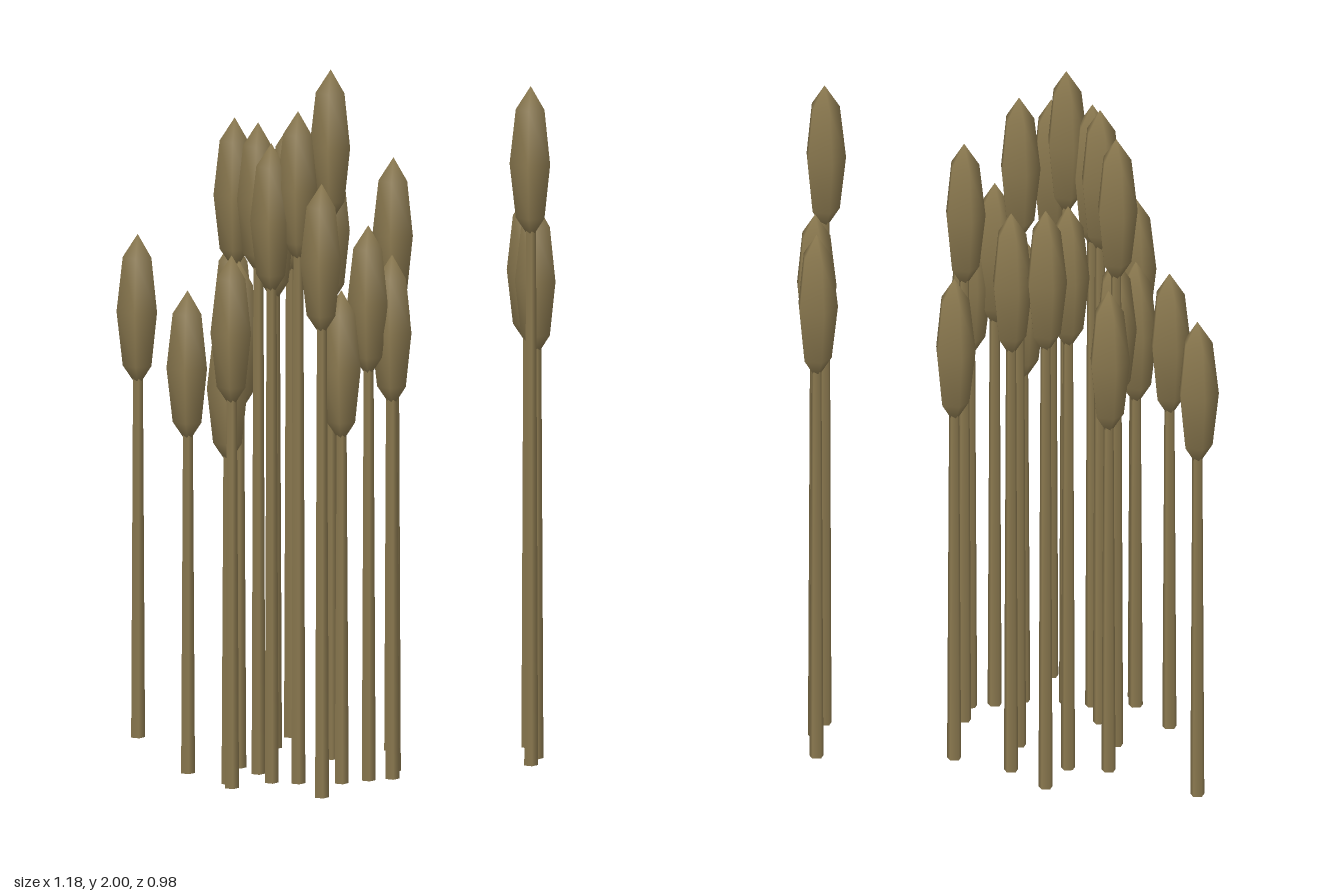
import * as THREE from 'three';

// Each reed: x, z, height of the tip
const REEDS = [
  [-0.527, -0.435, 1.46], [-0.10, -0.362, 1.78], [-0.284, -0.25, 1.48],
  [-0.17, -0.229, 1.735], [-0.008, -0.237, 1.72], [0.149, -0.144, 1.48],
  [0.538, -0.111, 1.61], [-0.039, -0.06, 2.0], [-0.314, -0.069, 1.87],
  [-0.315, 0.005, 1.47], [-0.471, 0.05, 1.40], [-0.276, 0.094, 1.89],
  [0.108, 0.126, 1.78], [0.535, 0.036, 1.61], [0.504, 0.122, 1.97],
  [-0.383, 0.207, 1.37], [-0.383, 0.264, 1.545], [-0.26, 0.215, 1.855],
  [-0.187, 0.237, 1.95], [-0.066, 0.258, 1.43], [0.016, 0.234, 1.61],
  [0.086, 0.225, 1.52], [-0.154, 0.43, 1.78],
];
const HEAD_RADIUS = 0.061;
const HEAD_HALF = 0.2225;

export function createModel() {
  const group = new THREE.Group();
  group.name = 'reedClump';
  const material = new THREE.MeshStandardMaterial({ color: 0x8c7a50 });

  // Seed head: five-sided, stretched low-poly ball
  const headGeometry = new THREE.SphereGeometry(1, 5, 4);
  headGeometry.scale(HEAD_RADIUS, HEAD_HALF, HEAD_RADIUS);

  for (const [x, z, tip] of REEDS) {
    const reed = new THREE.Group();
    reed.name = 'reed';
    reed.position.set(x, 0, z);

    const head = new THREE.Mesh(headGeometry, material);
    head.name = 'seedHead';
    head.position.y = tip - HEAD_HALF;

    // Slightly tapered stem ending inside the head
    const length = tip - 1.8 * HEAD_HALF;
    const stem = new THREE.Mesh(new THREE.CylinderGeometry(0.015, 0.021, length, 5), material);
    stem.name = 'stem';
    stem.position.y = length / 2;

    reed.add(stem, head);
    group.add(reed);
  }
  return group;
}
